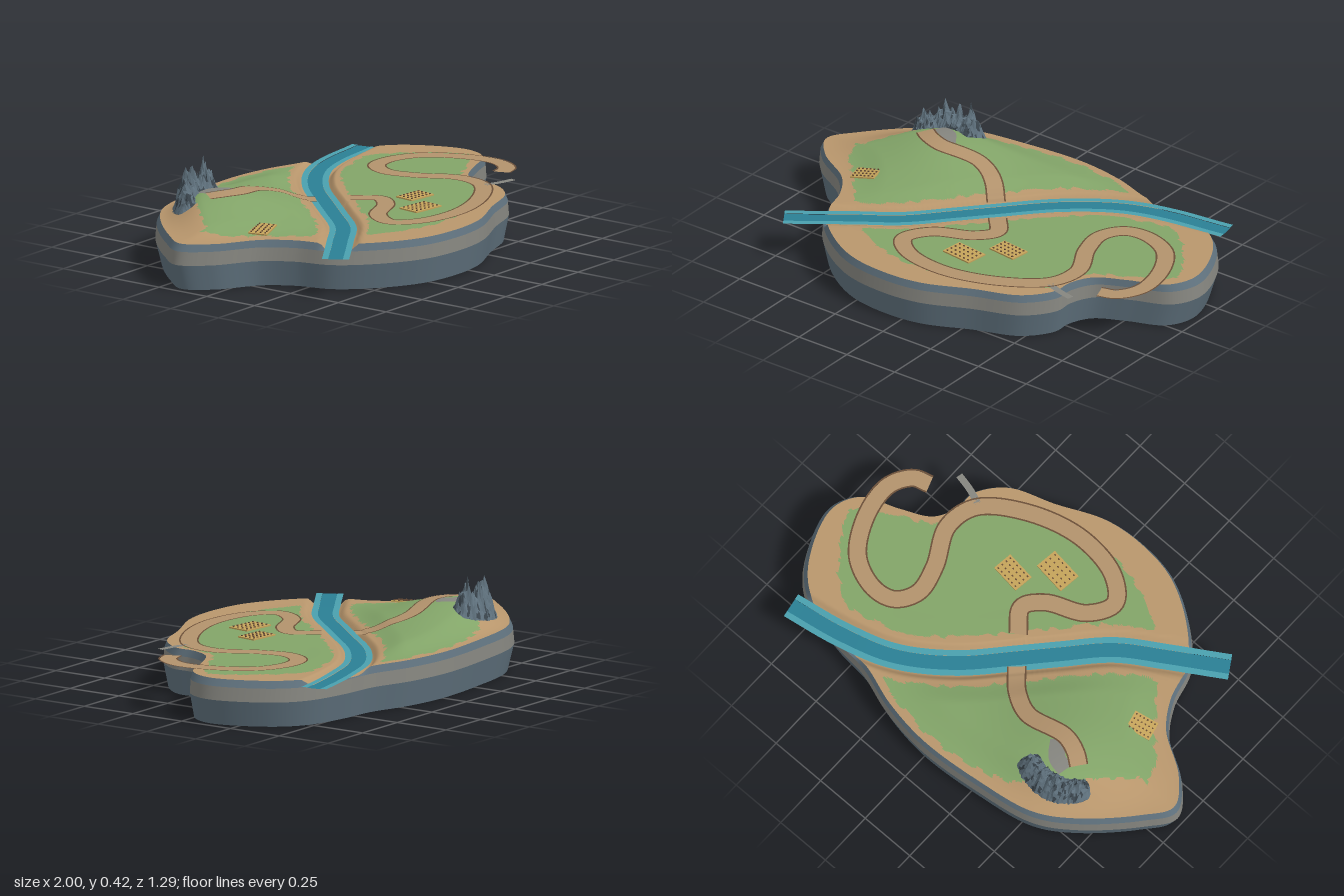
import * as THREE from 'three';

const mat = (name, color) => new THREE.MeshStandardMaterial({ name, color, side: THREE.DoubleSide });
const M = {
  grass: mat('grass green', 0x82a468), sand: mat('sand', 0xb8966c), road: mat('dirt road', 0xb2926c),
  brown: mat('dark soil', 0x6b4f38), deep: mat('deep water', 0x2a7f94), shallow: mat('shallow water', 0x4aa0ae),
  slate: mat('slate', 0x5f717d), stone: mat('warm stone', 0x85857f), crop: mat('crop yellow', 0xc4a35a),
  crevice: mat('dark rock', 0x3c474f),
};

// Island shoreline: x, z and the width of the beach there
const SHORE = [
  [-1, -0.16, 0.17], [-0.92, -0.28, 0.16], [-0.72, -0.48, 0.14], [-0.56, -0.58, 0.11], [-0.29, -0.63, 0.04],
  [0, -0.65, 0.03], [0.22, -0.62, 0.03], [0.41, -0.56, 0.04], [0.59, -0.54, 0.1], [0.78, -0.49, 0.13],
  [0.89, -0.4, 0.13], [0.985, -0.21, 0.1], [0.995, -0.1, 0.07], [0.94, 0, 0.04], [0.78, 0.07, 0.02],
  [0.65, 0.14, 0.02], [0.6, 0.24, 0.02], [0.595, 0.33, 0.04], [0.5, 0.45, 0.07], [0.3, 0.53, 0.08],
  [0.09, 0.62, 0.11], [-0.09, 0.64, 0.12], [-0.29, 0.61, 0.14], [-0.48, 0.5, 0.12], [-0.61, 0.36, 0.09],
  [-0.66, 0.2, 0.06], [-0.74, 0.08, 0.04], [-0.92, -0.04, 0.12],
];
const RIVER = [[-0.73, 0.47], [-0.505, 0.325], [-0.32, 0.2], [-0.16, 0.03], [-0.05, -0.09], [0.14, -0.29],
  [0.35, -0.435], [0.565, -0.505], [0.82, -0.55]];
const HILL_ROAD = [[-0.58, -0.31], [-0.53, -0.275], [-0.45, -0.25], [-0.265, -0.275], [-0.16, -0.225], [-0.07, -0.13]];
const VALLEY_ROAD = [[0.02, -0.02], [0.09, 0.08], [0.03, 0.16], [-0.13, 0.24], [-0.19, 0.35], [-0.1, 0.44],
  [0.11, 0.475], [0.35, 0.41], [0.53, 0.28], [0.56, 0.14], [0.48, -0.03], [0.455, -0.16], [0.51, -0.25],
  [0.61, -0.27], [0.75, -0.21], [0.845, -0.05], [0.865, 0.11], [0.81, 0.205], [0.74, 0.23]];

const SEG = 288;
const curve = (pts, closed = false) =>
  new THREE.CatmullRomCurve3(pts.map(([x, z, w = 0]) => new THREE.Vector3(x, w, z)), closed, 'centripetal');
const shore = curve(SHORE, true).getSpacedPoints(SEG).slice(0, SEG);
const riverPts = curve(RIVER).getSpacedPoints(90);
const step = THREE.MathUtils.smoothstep;

// Nearest sample of a point list: distance and the sample itself
function nearest(pts, x, z) {
  let best = Infinity, at = null;
  for (const p of pts) {
    const d = (p.x - x) ** 2 + (p.z - z) ** 2;
    if (d < best) { best = d; at = p; }
  }
  return { d: Math.sqrt(best), at };
}

// Ground height: hill, low rise, and a channel for the river
function ground(x, z) {
  const river = nearest(riverPts, x, z).d;
  const inland = step(nearest(shore, x, z).d, 0, 0.2);
  const hill = 0.097 * Math.exp(-(((x + 0.49) / 0.23) ** 2 + ((z + 0.31) / 0.21) ** 2) / 2);
  const rise = 0.025 * Math.exp(-(((x - 0.02) / 0.2) ** 2 + ((z + 0.45) / 0.12) ** 2) / 2);
  return 0.198 + (hill + rise) * inland * step(river, 0.05, 0.2) - 0.028 * (1 - step(river, 0.05, 0.085));
}

// Grid surface from rows x cols; wrap joins the last column to the first
function grid(rows, cols, wrap, fn) {
  const pos = [], idx = [];
  for (let r = 0; r < rows; r++) for (let c = 0; c < cols; c++) pos.push(...fn(r, c));
  for (let r = 0; r < rows - 1; r++) for (let c = 0; c < (wrap ? cols : cols - 1); c++) {
    const a = r * cols + c, b = r * cols + (c + 1) % cols;
    idx.push(a, a + cols, b, b, a + cols, b + cols);
  }
  const g = new THREE.BufferGeometry();
  g.setAttribute('position', new THREE.Float32BufferAttribute(pos, 3));
  g.setIndex(idx);
  g.computeVertexNormals();
  return g;
}

// Sorts triangles into two material groups by a test on their centre
function splitColours(g, test) {
  const p = g.attributes.position, src = g.index.array, lists = [[], []];
  for (let i = 0; i < src.length; i += 3) {
    const t = [src[i], src[i + 1], src[i + 2]];
    const mid = (k) => (p.getComponent(t[0], k) + p.getComponent(t[1], k) + p.getComponent(t[2], k)) / 3;
    lists[test(mid(0), mid(1), mid(2)) ? 1 : 0].push(...t);
  }
  g.setIndex([...lists[0], ...lists[1]]);
  g.addGroup(0, lists[0].length, 0);
  g.addGroup(lists[0].length, lists[1].length, 1);
  return g;
}

export function createModel() {
  const root = new THREE.Group();
  root.name = 'island';
  const add = (name, geometry, material, parent = root) => {
    const m = new THREE.Mesh(geometry, material);
    m.name = name;
    parent.add(m);
    return m;
  };

  // Cliff bands: each runs between two [scale, height] outlines
  const band = (name, material, lo, hi) => add(name, grid(2, SEG, true, (r, c) => {
    const [s, y] = r ? hi : lo, x = shore[c].x * s, z = shore[c].z * s;
    return [x, y ?? ground(x, z), z];
  }), material);
  band('islandUnderside', M.slate, [0, 0], [0.967, 0]);
  band('lowerCliff', M.slate, [0.967, 0], [1, 0.11]);
  band('upperCliff', M.stone, [1, 0.11], [0.993, 0.168]);
  band('cliffRim', M.slate, [0.993, 0.168], [0.976, null]);

  // Terrain with grass inland and sand along the shore and river
  const rings = 80;
  const land = grid(rings + 1, SEG, true, (r, c) => {
    const s = 0.976 * (1 - r / rings), x = shore[c].x * s, z = shore[c].z * s;
    return [x, ground(x, z), z];
  });
  splitColours(land, (x, y, z) => {
    const s = nearest(shore, x, z), wobble = 0.008 * Math.sin(x * 47 + 3 * Math.sin(z * 39));
    return s.d < s.at.y + 0.02 + wobble || nearest(riverPts, x, z).d < 0.112 + wobble;
  });
  add('terrain', land, [M.grass, M.sand]);

  // Ribbons following a path between two sideways offsets
  const ribbon = (name, pts, a, b, material, height, parent) => {
    const path = curve(pts), n = pts.length * 12;
    return add(name, grid(3, n + 1, false, (r, c) => {
      const p = path.getPointAt(c / n), t = path.getTangentAt(c / n), o = a + (b - a) * r / 2;
      const len = Math.hypot(t.x, t.z), x = p.x - t.z / len * o, z = p.z + t.x / len * o;
      return [x, height(x, z, c / n), z];
    }), material, parent);
  };
  const onGround = (lift) => (x, z) => Math.max(ground(x, z), 0.195) + lift;

  // River, dipping slightly where it spills over the shore
  const river = new THREE.Group();
  river.name = 'river';
  root.add(river);
  const waterY = (lift) => (x, z, t) => 0.177 + lift + 0.009 * step(Math.min(t, 1 - t), 0, 0.2);
  ribbon('deepWater', RIVER, 0.031, -0.031, M.deep, waterY(0), river);
  for (const s of [1, -1]) ribbon('shallowWater', RIVER, s * 0.031, s * 0.057, M.shallow, waterY(0.002), river);

  // Roads with dark verges
  for (const [name, pts] of [['hillRoad', HILL_ROAD], ['valleyRoad', VALLEY_ROAD]]) {
    const road = new THREE.Group();
    road.name = name;
    root.add(road);
    ribbon('roadSurface', pts, 0.034, -0.034, M.road, onGround(0.008), road);
    for (const s of [1, -1]) ribbon('roadVerge', pts, s * 0.034, s * 0.041, M.brown, onGround(0.009), road);
  }

  // Stone landing and the paved spot under the peaks
  ribbon('stoneLanding', [[0.535, 0.3], [0.6, 0.325], [0.675, 0.342]], 0.015, -0.015, M.stone, onGround(0.008));
  ribbon('stoneApron', [[-0.55, -0.36], [-0.49, -0.345], [-0.44, -0.28]], 0.035, -0.035, M.stone, onGround(0.005));

  // Crop fields with rows of plants
  for (const [x, z, w, d, turn] of [[0.22, 0.17, 0.135, 0.09, -0.12], [0.085, 0.3, 0.15, 0.1, -0.12], [-0.64, 0.02, 0.11, 0.085, 0.24]]) {
    const field = new THREE.Group();
    field.name = 'cropField';
    field.position.set(x, ground(x, z) + 0.006, z);
    field.rotation.y = turn;
    // lean the plot with the slope
    field.rotation.z = Math.atan((ground(x + 0.04, z) - ground(x - 0.04, z)) / 0.08);
    root.add(field);
    add('fieldSoil', new THREE.BoxGeometry(w, 0.006, d), M.crop, field);
    for (let r = 0; r < 4; r++) for (let c = 0; c < 6; c++) {
      const plant = add('plant', new THREE.BoxGeometry(0.007, 0.005, 0.005), M.brown, field);
      plant.position.set((c / 5 - 0.5) * w * 0.8, 0.005, (r / 3 - 0.5) * d * 0.75);
    }
  }

  // Curved ridge of jagged peaks
  const U = 48, V = 14;
  const hash = (i, j) => { const s = Math.sin(i * 127.1 + j * 311.7) * 43758.5453; return s - Math.floor(s); };
  const peak = (u, at, wide, h) => h * Math.max(0, 1 - Math.abs(u - at) / wide);
  const ridge = grid(V + 1, U + 1, false, (r, c) => {
    const u = c / U, v = r / V, ang = THREE.MathUtils.lerp(3.64, 5.32, u);
    const inner = 0.155, outer = 0.235 + 0.035 * Math.sin(u * 2.2);
    const rad = THREE.MathUtils.lerp(outer, inner, v) + (hash(c, r) - 0.5) * 0.008;
    const x = -0.5 + Math.cos(ang) * rad, z = -0.24 + Math.sin(ang) * rad;
    const crest = 0.035 + Math.max(peak(u, 0.2, 0.2, 0.07), peak(u, 0.45, 0.22, 0.115), peak(u, 0.62, 0.14, 0.095),
      peak(u, 0.82, 0.17, 0.1));
    const slope = Math.pow(1 - Math.abs(2 * v - 1), 0.85);
    const ribs = 1 - 0.28 * Math.abs(Math.sin(u * 34 + Math.sin(v * 5))) - 0.14 * hash(c + 9, r + 4);
    const ends = Math.min(1, Math.min(u, 1 - u) * 12);
    return [x, ground(x, z) - 0.012 + (crest * 1.2 * ribs + 0.012) * slope * ends, z];
  }).toNonIndexed();
  ridge.computeVertexNormals();
  ridge.setIndex([...Array(ridge.attributes.position.count).keys()]);
  splitColours(ridge, (x, y, z) => hash(Math.round(x * 90), Math.round(z * 90)) > 0.8);
  add('mountainRidge', ridge, [M.slate, M.crevice]);

  return root;
}
